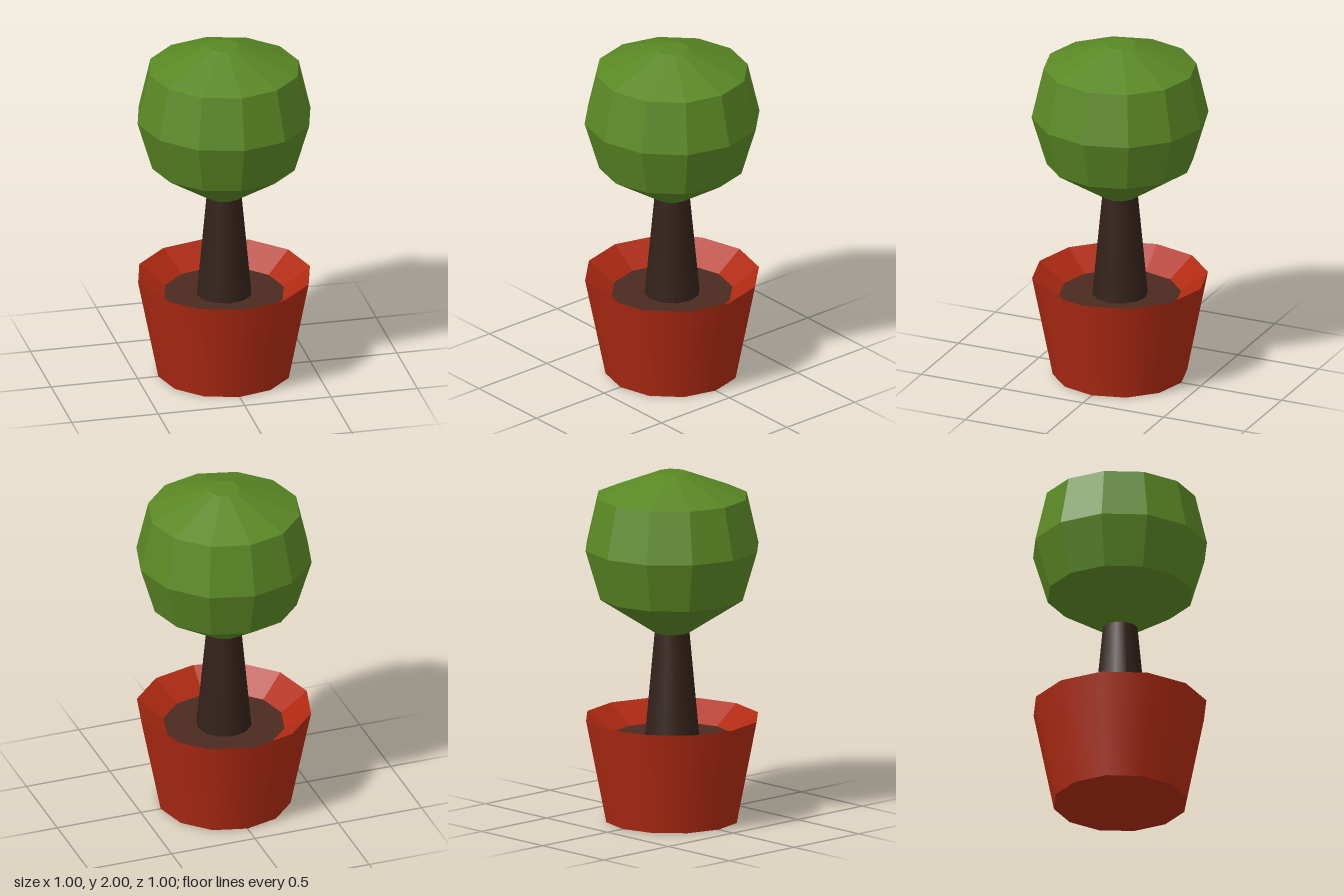
import * as THREE from 'three';

const SIDES = 12;

// Twelve-sided surface of revolution from [radius, height] pairs
function lathe(name, profile, color, flatShading = false) {
  const points = profile.map(([r, y]) => new THREE.Vector2(r, y));
  const material = new THREE.MeshStandardMaterial({ color, flatShading });
  const mesh = new THREE.Mesh(new THREE.LatheGeometry(points, SIDES), material);
  mesh.name = name;
  return mesh;
}

export function createModel() {
  const model = new THREE.Group();
  model.name = 'pottedTree';
  const clay = 0xb02a12, bark = 0x33211a, earth = 0x4a2a20, leaf = 0x5a8824;
  const soilY = 0.48;

  // Pot: base, tapered outside, sloping inside that meets it at a sharp rim
  const pot = new THREE.Group();
  pot.name = 'pot';
  pot.add(
    lathe('potBase', [[0, 0], [0.38, 0]], clay),
    lathe('potOuterWall', [[0.38, 0], [0.497, 0.59]], clay),
    lathe('potInnerWall', [[0.497, 0.59], [0.345, soilY]], clay, true)
  );
  model.add(pot);

  // Soil disc
  model.add(lathe('soil', [[0.345, soilY], [0, soilY]], earth));

  // Tapered trunk
  model.add(lathe('trunk', [[0.157, soilY], [0.1, 1.085]], bark));

  // Faceted ball of leaves
  model.add(lathe('foliage', [
    [0.1, 1.08], [0.415, 1.285], [0.5, 1.57], [0.432, 1.865], [0.088, 2], [0, 2],
  ], leaf, true));

  return model;
}
